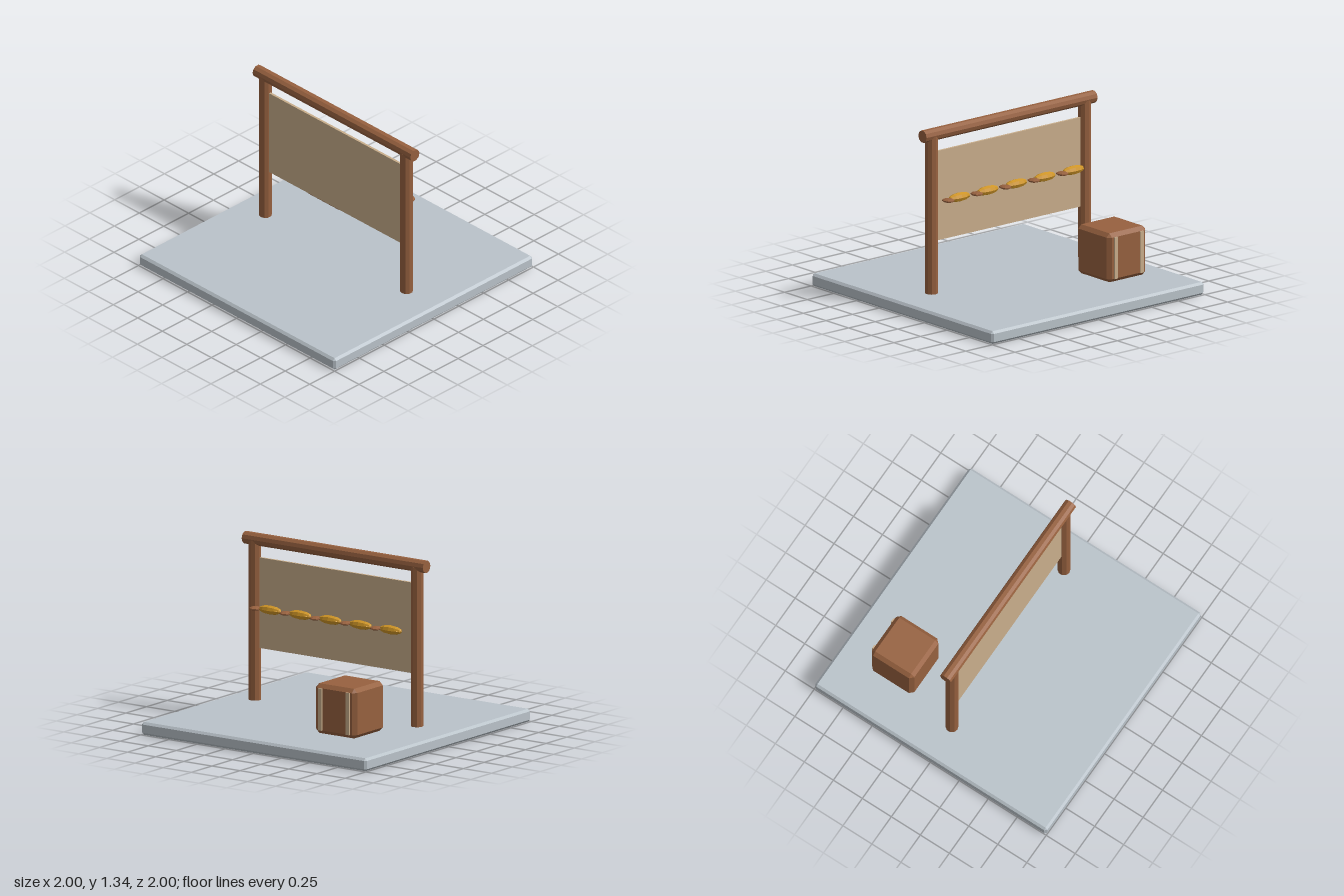
import * as THREE from 'three';
import { ConvexGeometry } from 'three/addons/geometries/ConvexGeometry.js';

function material(name, color) {
  const m = new THREE.MeshStandardMaterial({ color, flatShading: true });
  m.name = name;
  return m;
}

// Box with every edge chamfered by c
function chamferBox(w, h, d, c) {
  const points = [];
  for (const x of [-1, 1]) for (const y of [-1, 1]) for (const z of [-1, 1]) {
    for (let axis = 0; axis < 3; axis++) {
      const inset = [c, c, c];
      inset[axis] = 0;
      points.push(new THREE.Vector3(
        x * (w / 2 - inset[0]), y * (h / 2 - inset[1]), z * (d / 2 - inset[2])));
    }
  }
  return new ConvexGeometry(points);
}

export function createModel() {
  const stone = material('pale stone', 0xbac3ca);
  const wood = material('brown wood', 0x97613f);
  const cloth = material('tan cloth', 0xc9ae8c);
  const gold = material('golden', 0xcf9526);

  const model = new THREE.Group();
  model.name = 'hangingRack';
  const add = (parent, name, geometry, mat, x, y, z) => {
    const mesh = new THREE.Mesh(geometry, mat);
    mesh.name = name;
    mesh.position.set(x, y, z);
    parent.add(mesh);
    return mesh;
  };

  // Ground slab
  add(model, 'baseSlab', chamferBox(2, 0.095, 2, 0.017), stone, 0, 0.0475, 0);

  // Two posts and the crossbeam
  const postGeometry = new THREE.CylinderGeometry(0.047, 0.047, 1.175, 10);
  for (const side of [-1, 1]) {
    add(model, side < 0 ? 'rightPost' : 'leftPost', postGeometry, wood, side * 0.72, 0.7025, 0);
  }
  const beam = add(model, 'crossbeam', new THREE.CylinderGeometry(0.046, 0.046, 1.61, 10), wood, 0, 1.295, 0);
  beam.rotation.z = Math.PI / 2;

  // Sheet stretched between the posts
  add(model, 'sheet', new THREE.BoxGeometry(1.36, 0.665, 0.018), cloth, 0, 0.8325, 0);

  // Row of fish behind the sheet
  const bodyGeometry = new THREE.SphereGeometry(1, 8, 6);
  bodyGeometry.rotateZ(Math.PI / 2);
  bodyGeometry.scale(0.098, 0.034, 0.037);
  const tailGeometry = new THREE.SphereGeometry(1, 8, 5);
  tailGeometry.scale(0.044, 0.014, 0.049);
  const finGeometry = new THREE.ConeGeometry(0.014, 0.03, 4);
  finGeometry.rotateX(-Math.PI / 2);
  for (let i = 0; i < 5; i++) {
    const fish = new THREE.Group();
    fish.name = 'fish' + (i + 1);
    fish.position.set(-0.545 + i * 0.268, 0.812, -0.08);
    add(fish, 'body', bodyGeometry, gold, 0, 0, 0);
    add(fish, 'tail', tailGeometry, wood, 0.118, 0, -0.018);
    add(fish, 'fin', finGeometry, gold, -0.07, 0, -0.02);
    model.add(fish);
  }

  // Crate with two straps on its back
  const crate = new THREE.Group();
  crate.name = 'crate';
  crate.position.set(-0.517, 0.327, -0.54);
  add(crate, 'crateBody', chamferBox(0.365, 0.365, 0.365, 0.028), wood, 0, 0, 0);
  for (const side of [-1, 1]) {
    add(crate, 'strap', new THREE.BoxGeometry(0.03, 0.31, 0.02), cloth, side * 0.122, 0, -0.183);
  }
  model.add(crate);

  return model;
}
